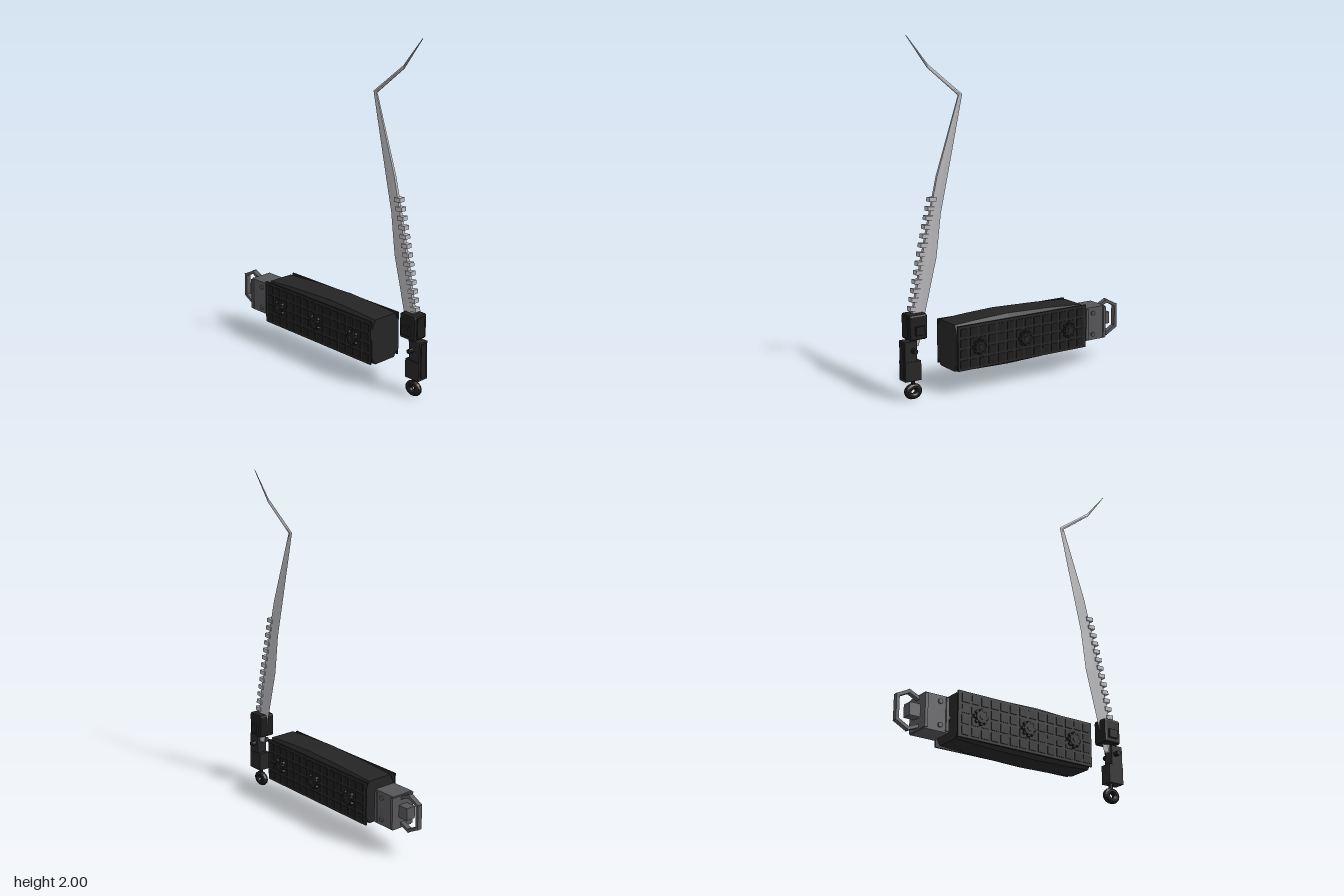
import * as THREE from 'three';
import { RoundedBoxGeometry } from 'three/addons/geometries/RoundedBoxGeometry.js';

const mat = (color) => new THREE.MeshStandardMaterial({ color, flatShading: true });

// Skin a list of equal-length rings, counter-clockwise as seen from the end of the path
function loft(rings) {
  const n = rings[0].length, pos = [];
  const tri = (...pts) => pts.forEach((p) => pos.push(...p));
  for (let i = 0; i < rings.length - 1; i++) {
    for (let j = 0; j < n; j++) {
      const k = (j + 1) % n;
      const a = rings[i][j], b = rings[i][k], c = rings[i + 1][k], d = rings[i + 1][j];
      tri(a, b, c);
      tri(a, c, d);
    }
  }
  const first = rings[0], last = rings[rings.length - 1];
  for (let j = 1; j < n - 1; j++) {
    tri(first[0], first[j + 1], first[j]);
    tri(last[0], last[j], last[j + 1]);
  }
  const g = new THREE.BufferGeometry();
  g.setAttribute('position', new THREE.Float32BufferAttribute(pos, 3));
  g.computeVertexNormals();
  return g;
}

export function createModel() {
  const model = new THREE.Group();
  const dark = mat(0x242424), darker = mat(0x1c1c1c), grey = mat(0x555558), steel = mat(0xb4b4b8);

  const add = (name, geo, material, x = 0, y = 0, z = 0, parent = model) => {
    const m = new THREE.Mesh(geo, material);
    m.name = name;
    m.position.set(x, y, z);
    parent.add(m);
    return m;
  };
  // Box given by its limits in y and z, centred on x unless told otherwise
  const block = (name, w, y0, y1, z0, z1, material, x = 0, parent = model) =>
    add(name, new THREE.BoxGeometry(w, y1 - y0, z1 - z0), material, x, (y0 + y1) / 2, (z0 + z1) / 2, parent);

  // ---- Case body: chamfered section with slightly bulging top and bottom ----
  const caseGroup = new THREE.Group();
  caseGroup.name = 'case';
  model.add(caseGroup);
  const stations = [[-0.425, 0.40, 0.145], [-0.2, 0.414, 0.132], [0.1, 0.424, 0.125], [0.3, 0.416, 0.13], [0.456, 0.406, 0.138]];
  const bodyRings = stations.map(([z, top, bot]) => [
    [-0.075, bot, z], [0.075, bot, z], [0.104, bot + 0.045, z], [0.104, top - 0.05, z],
    [0.08, top, z], [-0.08, top, z], [-0.104, top - 0.05, z], [-0.104, bot + 0.045, z],
  ]);
  add('caseBody', loft(bodyRings), dark, 0, 0, 0, caseGroup);

  for (const s of [-1, 1]) {
    // Side plates with raised tiles
    block('sidePlate', 0.01, 0.145, 0.402, -0.435, 0.454, dark, s * 0.108, caseGroup);
    for (let i = 0; i < 14; i++) {
      for (let j = 0; j < 4; j++) {
        add('sideTile', new THREE.BoxGeometry(0.006, 0.046, 0.046), darker,
          s * 0.114, 0.183 + j * 0.06, -0.39 + i * 0.062, caseGroup);
      }
    }
    // Toothed knobs
    for (const z of [0.32, 0.01, -0.3]) {
      const knob = new THREE.Group();
      knob.name = 'knob';
      knob.position.set(s * 0.12, 0.272, z);
      caseGroup.add(knob);
      const hub = add('knobHub', new THREE.CylinderGeometry(0.033, 0.033, 0.03, 16), darker, 0, 0, 0, knob);
      hub.rotation.z = Math.PI / 2;
      const cap = add('knobCap', new THREE.CylinderGeometry(0.014, 0.014, 0.036, 12), dark, 0, 0, 0, knob);
      cap.rotation.z = Math.PI / 2;
      for (let i = 0; i < 8; i++) {
        const a = (i * Math.PI) / 4;
        const t = add('knobTooth', new THREE.BoxGeometry(0.024, 0.018, 0.015), darker,
          0, Math.cos(a) * 0.035, Math.sin(a) * 0.035, knob);
        t.rotation.x = a;
      }
    }
  }

  // ---- Rear connector, block and pull handle ----
  for (const z of [-0.425, -0.45]) add('connectorBead', new THREE.SphereGeometry(0.024, 12, 8), darker, 0, 0.27, z);
  block('rearBlock', 0.14, 0.165, 0.365, -0.612, -0.466, grey);
  for (const z of [-0.606, -0.476]) block('rearBlockFlange', 0.156, 0.172, 0.358, z - 0.009, z + 0.009, grey);
  for (const s of [-1, 1]) {
    for (const y of [0.2, 0.33]) {
      const bolt = add('rearBolt', new THREE.CylinderGeometry(0.014, 0.014, 0.012, 8), grey, s * 0.073, y, -0.52);
      bolt.rotation.z = Math.PI / 2;
    }
  }
  block('rearStub', 0.06, 0.235, 0.307, -0.68, -0.612, grey);

  const handlePts = [[0.345, -0.612], [0.373, -0.672], [0.338, -0.741], [0.205, -0.741], [0.168, -0.672], [0.193, -0.612]];
  for (let i = 0; i < handlePts.length - 1; i++) {
    const [y0, z0] = handlePts[i], [y1, z1] = handlePts[i + 1];
    const len = Math.hypot(y1 - y0, z1 - z0);
    const bar = add('pullHandle', new THREE.BoxGeometry(0.03, len + 0.014, 0.018), grey, 0, (y0 + y1) / 2, (z0 + z1) / 2);
    bar.rotation.x = Math.atan2(z1 - z0, y1 - y0);
  }

  // ---- Blade: [front z, front y, back z, back y, half thickness] ----
  const bladeStations = [
    [0.68, 0.30, 0.64, 0.30, 0.014], [0.68, 0.49, 0.604, 0.45, 0.014], [0.62, 0.785, 0.52, 0.785, 0.014],
    [0.564, 1.03, 0.49, 1.025, 0.013], [0.515, 1.235, 0.44, 1.247, 0.011], [0.372, 1.668, 0.346, 1.674, 0.006],
    [0.567, 1.824, 0.56, 1.84, 0.004], [0.695, 1.997, 0.693, 2.0, 0.0015],
  ];
  const bladeRings = bladeStations.map(([zf, yf, zb, yb, t]) => {
    const zm = zf + (zb - zf) * 0.45, ym = yf + (yb - yf) * 0.45;
    return [[t * 0.7, yf, zf], [t, ym, zm], [0, yb, zb], [-t, ym, zm], [-t * 0.7, yf, zf]];
  });
  add('blade', loft(bladeRings), steel);

  // Teeth along the lower front edge
  const frontZ = (y) => {
    const i = bladeStations.findIndex((s) => s[1] > y);
    const a = bladeStations[i - 1], b = bladeStations[i];
    return a[0] + ((b[0] - a[0]) * (y - a[1])) / (b[1] - a[1]);
  };
  for (let i = 0; i < 13; i++) {
    const y = 0.515 + i * 0.0495;
    const tooth = add('bladeTooth', new THREE.BoxGeometry(0.036, 0.024, 0.045), steel, 0, y, frontZ(y) + 0.003);
    tooth.rotation.x = -0.08;
  }

  // ---- Guard, grip and pommel ring ----
  add('guard', new RoundedBoxGeometry(0.1, 0.145, 0.112, 1, 0.012), darker, 0, 0.418, 0.666);
  block('guardWing', 0.128, 0.375, 0.425, 0.635, 0.69, darker);
  block('guardFront', 0.06, 0.36, 0.48, 0.7, 0.728, darker);
  block('gripUpper', 0.064, 0.21, 0.34, 0.67, 0.745, dark);
  block('gripLower', 0.07, 0.115, 0.225, 0.646, 0.745, dark);
  block('gripFront', 0.04, 0.13, 0.33, 0.735, 0.75, darker);
  const pin = add('crossPin', new THREE.CylinderGeometry(0.014, 0.014, 0.13, 10), darker, 0, 0.288, 0.695);
  pin.rotation.z = Math.PI / 2;
  add('pommelNeck', new THREE.CylinderGeometry(0.012, 0.012, 0.05, 8), darker, 0, 0.1, 0.68);
  const ring = add('pommelRing', new THREE.TorusGeometry(0.034, 0.021, 10, 20), darker, 0, 0.046, 0.68);
  ring.rotation.y = Math.PI / 2;
  ring.scale.set(1, 0.83, 0.95);

  return model;
}
